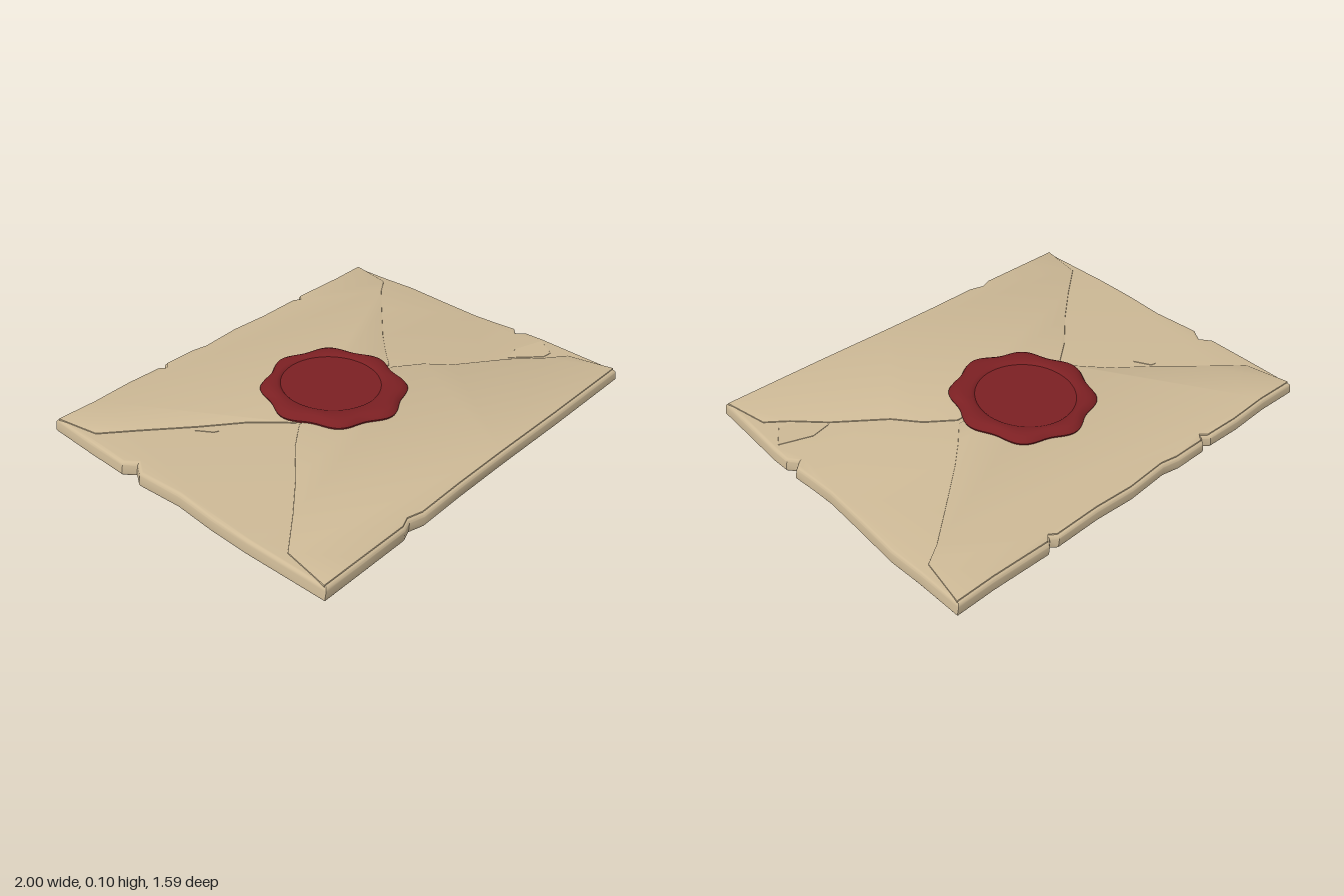
import * as THREE from 'three';
import { mergeVertices, toCreasedNormals } from 'three/addons/utils/BufferGeometryUtils.js';

const paper = new THREE.MeshStandardMaterial({ color: 0xcdb996 });
paper.name = 'parchment';
const wax = new THREE.MeshStandardMaterial({ color: 0x7c2023 });
wax.name = 'red wax';

// Worn outline edges as [x, z], going round the envelope
const backEdge = [[-0.99, -0.79], [-0.8, -0.785], [-0.6, -0.795], [-0.43, -0.79], [-0.4, -0.765], [-0.375, -0.795],
  [-0.22, -0.795], [-0.14, -0.78], [0.06, -0.795], [0.25, -0.785], [0.47, -0.79], [0.5, -0.768], [0.525, -0.795],
  [0.8, -0.79], [0.98, -0.795]];
const rightEdge = [[0.985, -0.58], [0.995, -0.42], [0.985, -0.22], [0.977, 0], [0.985, 0.12], [0.995, 0.22],
  [0.962, 0.25], [0.996, 0.29], [1, 0.38], [0.992, 0.58]];
const frontEdge = [[0.985, 0.79], [0.5, 0.79], [0.1, 0.785], [-0.2, 0.785], [-0.43, 0.79], [-0.5, 0.77],
  [-0.55, 0.79], [-0.8, 0.79], [-0.99, 0.79]];
const leftEdge = [[-1, 0.4], [-0.997, 0.2], [-0.984, 0], [-1, -0.22], [-0.962, -0.28], [-1, -0.33], [-0.997, -0.55]];

// Fold lines running from the corners towards the seal
const foldBackLeft = [[-0.94, -0.57], [-0.8, -0.45], [-0.62, -0.29], [-0.46, -0.16], [-0.36, -0.05], [-0.32, 0]];
const foldBackRight = [[0.93, -0.57], [0.84, -0.51], [0.68, -0.37], [0.5, -0.21], [0.4, -0.11], [0.31, -0.01]];
const foldFrontLeft = [[-0.94, 0.56], [-0.77, 0.42], [-0.6, 0.27], [-0.45, 0.12], [-0.32, 0.02]];
const foldFrontRight = [[0.93, 0.56], [0.84, 0.49], [0.72, 0.37], [0.51, 0.21], [0.42, 0.1], [0.3, 0.01]];

function smooth(geometry, angle) {
  geometry.deleteAttribute('uv');
  geometry.deleteAttribute('normal');
  return toCreasedNormals(mergeVertices(geometry, 1e-4), angle);
}

// Horizontal sheet between two heights with rounded rims
function sheet(name, points, bottom, top, bevel, segments, rule) {
  const shape = new THREE.Shape(points.map(([x, z]) => new THREE.Vector2(x, z)));
  const geometry = new THREE.ExtrudeGeometry(shape, {
    depth: top - bottom - 2 * bevel, bevelThickness: bevel, bevelSize: bevel,
    bevelOffset: -bevel, bevelSegments: segments,
  });
  geometry.rotateX(Math.PI / 2).translate(0, top - bevel, 0);
  if (rule) {
    const p = geometry.attributes.position;
    for (let i = 0; i < p.count; i++) rule(p, i);
  }
  const mesh = new THREE.Mesh(smooth(geometry, 0.6), paper);
  mesh.name = name;
  return mesh;
}

const inset = (edge) => edge.map(([x, z]) => [x * 0.988, z * 0.983]);

function waxSeal() {
  // Radius (1 = rim) and height: rounded rim, flat border, pressed-in centre
  const profile = [[0.93, 0.06], [0.985, 0.068], [1, 0.08], [0.975, 0.092], [0.92, 0.101], [0.85, 0.105],
    [0.76, 0.104], [0.725, 0.1], [0.71, 0.095], [0.4, 0.095], [0, 0.095]];
  const geometry = new THREE.LatheGeometry(profile.map(([r, y]) => new THREE.Vector2(r, y)), 120);
  const p = geometry.attributes.position;
  for (let i = 0; i < p.count; i++) {
    const x = p.getX(i), z = p.getZ(i);
    const r = Math.hypot(x, z), a = Math.atan2(x, z);
    const edge = THREE.MathUtils.smoothstep(r, 0.72, 0.95);
    const lobes = 1 + edge * (0.042 * Math.cos(8 * a) + 0.014 * Math.sin(3 * a + 0.6));
    p.setX(i, x * 0.306 * lobes - 0.015);
    p.setZ(i, z * 0.326 * lobes - 0.06 - 0.018 * (1 - edge));
  }
  const mesh = new THREE.Mesh(smooth(geometry, 0.7), wax);
  mesh.name = 'waxSeal';
  return mesh;
}

export function createModel() {
  const group = new THREE.Group();
  group.name = 'sealedEnvelope';

  // Envelope body, slightly narrower in its upper half
  group.add(sheet('envelopeBody', [...backEdge, ...rightEdge, ...frontEdge, ...leftEdge], 0, 0.066, 0.018, 5,
    (p, i) => { if (p.getY(i) > 0.04) p.setX(i, p.getX(i) * 0.993); }));

  // Front and back flaps lie over the side flaps
  group.add(sheet('backFlap',
    [...inset(backEdge), ...foldBackRight, ...[...foldBackLeft].reverse()], 0.058, 0.071, 0.003, 2));
  group.add(sheet('frontFlap',
    [...inset(frontEdge), ...foldFrontLeft, ...[...foldFrontRight].reverse()], 0.058, 0.071, 0.003, 2));

  // Small raised wrinkles in the paper
  group.add(sheet('cornerWrinkle', [[0.73, 0.36], [0.82, 0.34], [0.965, 0.39], [0.9, 0.485], [0.85, 0.48]],
    0.06, 0.068, 0.001, 1));
  group.add(sheet('sideWrinkle', [[-0.645, -0.28], [-0.62, -0.275], [-0.58, -0.2], [-0.6, -0.21]],
    0.06, 0.068, 0.001, 1));

  group.add(waxSeal());
  return group;
}
